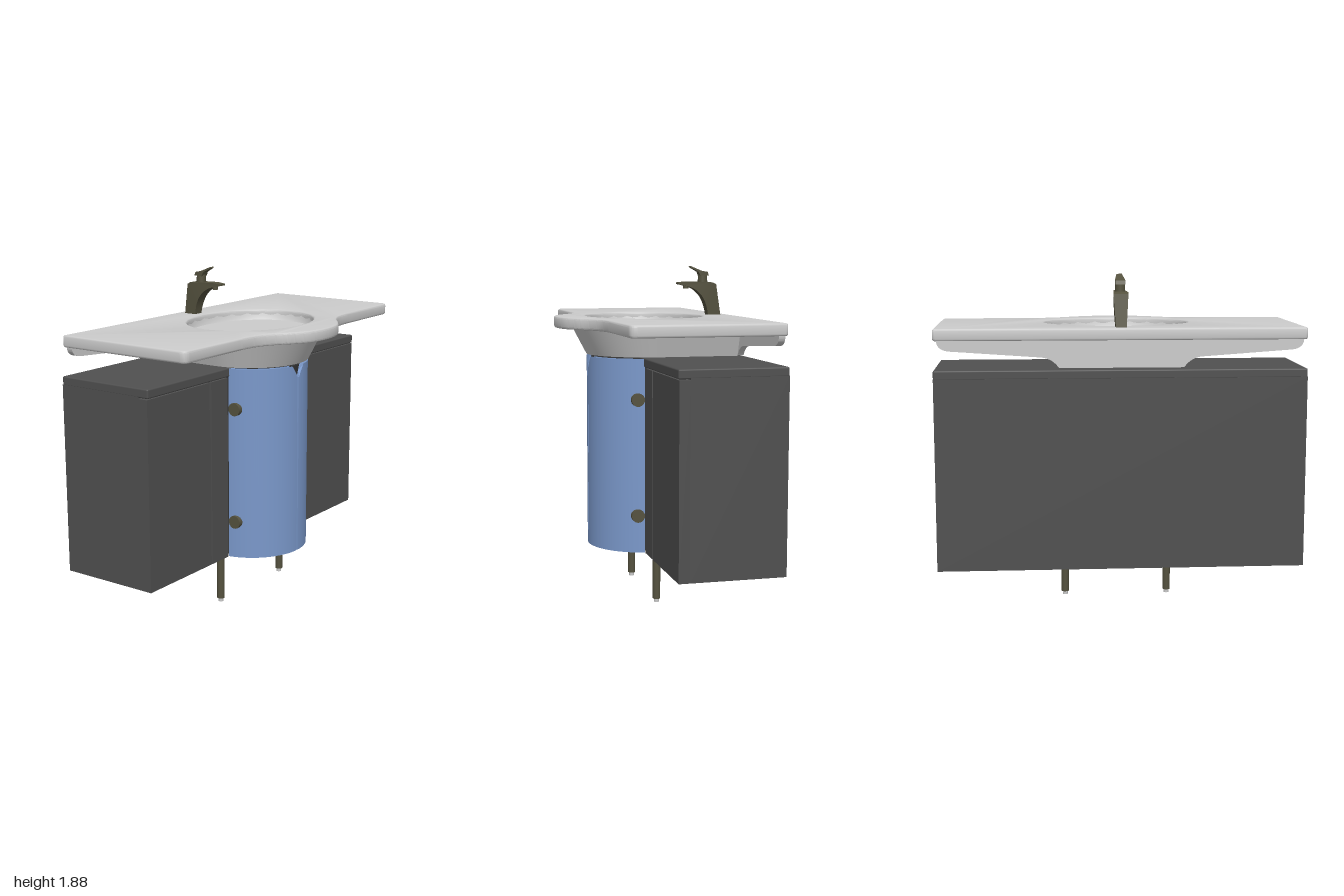
import * as THREE from 'three';
import { toCreasedNormals } from 'three/addons/utils/BufferGeometryUtils.js';
import { RoundedBoxGeometry } from 'three/addons/geometries/RoundedBoxGeometry.js';

const ceramic = new THREE.MeshStandardMaterial({ color: 0xcccccc, side: THREE.DoubleSide });
const dark = new THREE.MeshStandardMaterial({ color: 0x505050 });
const inner = new THREE.MeshStandardMaterial({ color: 0x333333 });
const blue = new THREE.MeshStandardMaterial({ color: 0x7a98ca });
const metal = new THREE.MeshStandardMaterial({ color: 0x55523f });
const black = new THREE.MeshStandardMaterial({ color: 0x222222 });

export function createModel() {
  const group = new THREE.Group();
  const add = (name, geo, mat, x = 0, y = 0, z = 0) => {
    const m = new THREE.Mesh(geo, mat);
    m.name = name;
    m.position.set(x, y, z);
    group.add(m);
    return m;
  };
  // Box given by its limits
  const box = (name, mat, x0, x1, y0, y1, z0, z1) =>
    add(name, new THREE.BoxGeometry(x1 - x0, y1 - y0, z1 - z0), mat, (x0 + x1) / 2, (y0 + y1) / 2, (z0 + z1) / 2);
  const extrude = (shape, depth, opts = {}) =>
    new THREE.ExtrudeGeometry(shape, { depth, bevelEnabled: false, curveSegments: 24, ...opts });
  // Plan outline (x, z) extruded downwards from y = 0
  const plan = (shape, depth, opts) => extrude(shape, depth, opts).rotateX(Math.PI / 2);
  const polygon = (pts) => new THREE.Shape(pts.map((p) => new THREE.Vector2(...p)));
  const moveVertices = (geo, rule) => {
    const p = geo.attributes.position, v = new THREE.Vector3();
    for (let i = 0; i < p.count; i++) {
      v.fromBufferAttribute(p, i);
      rule(v);
      p.setXYZ(i, v.x, v.y, v.z);
    }
    return toCreasedNormals(geo, 0.6);
  };

  // Cabinet carcass and top board
  box('cabinetBody', dark, -1, 1, 0.29, 1.335, -0.51, 0.01);
  add('cabinetTop', new RoundedBoxGeometry(2, 0.05, 0.585, 2, 0.008), dark, 0, 1.355, -0.2175);

  // Curved centre core behind the bowed doors
  const R = 0.316, cz = 0.01;
  const arc = (r, a0, a1, n) => Array.from({ length: n + 1 }, (_, i) => {
    const a = a0 + (a1 - a0) * i / n;
    return [r * Math.cos(a), cz + r * Math.sin(a)];
  });
  add('centreCore', toCreasedNormals(plan(polygon(arc(R - 0.025, 0, Math.PI, 48)), 1.075), 0.6), inner, 0, 1.37, 0);

  for (const s of [1, -1]) {
    // Flat doors; the wide one has a finger slot on its inner edge
    const narrow = [0.318, 0.466].map((x) => x * s).sort((a, b) => a - b);
    box('narrowFrontPanel', dark, narrow[0], narrow[1], 0.29, 1.325, 0.01, 0.07);
    const wide = polygon([[0.474, 0.29], [1, 0.29], [1, 1.325], [0.482, 1.325], [0.482, 1.18], [0.474, 1.18]]
      .map(([x, y]) => [x * s, y]));
    add('wideDoor', extrude(wide, 0.06), dark, 0, 0, 0.01);

    // Bowed door with a shared finger notch at the centre of its top edge
    const a0 = 0.19, a1 = Math.PI / 2 - 0.014;
    const sector = [...arc(R, a0, a1, 40), ...arc(R - 0.025, a1, a0, 40)].map(([x, z]) => [x * s, z]);
    const door = moveVertices(plan(polygon(sector), 1.085), (v) => {
      if (v.y > -0.01) v.y -= 0.068 * THREE.MathUtils.smoothstep(0.058 - Math.abs(v.x), 0, 0.045);
    });
    add('bowedDoor', door, blue, 0, 1.375, 0);

    // Round hinges
    for (const y of [0.5, 1.15])
      add('hinge', new THREE.CylinderGeometry(0.037, 0.037, 0.03, 24).rotateZ(Math.PI / 2), metal, s * 0.299, y, 0.108);

    // Legs with feet
    add('leg', new THREE.CylinderGeometry(0.022, 0.022, 0.27, 12), metal, s * 0.298, 0.155, 0);
    add('foot', new THREE.CylinderGeometry(0.015, 0.015, 0.022, 12), ceramic, s * 0.298, 0.011, 0);
  }

  // Washbasin top: rounded rectangle with a bowed front and an oval opening
  const c = 0.04, b = 0.015;
  const top = new THREE.Shape();
  top.moveTo(-1 + b, -0.5);
  top.lineTo(1 - b, -0.5);
  top.quadraticCurveTo(1, -0.5, 1, -0.5 + b);
  top.lineTo(1, 0.32 - c);
  top.quadraticCurveTo(1, 0.32, 1 - c, 0.32);
  top.lineTo(0.54, 0.32);
  top.splineThru([[0.41, 0.335], [0.31, 0.378], [0.23, 0.437], [0.13, 0.492], [0, 0.51],
    [-0.13, 0.492], [-0.23, 0.437], [-0.31, 0.378], [-0.41, 0.335], [-0.54, 0.32]].map((p) => new THREE.Vector2(...p)));
  top.lineTo(-1 + c, 0.32);
  top.quadraticCurveTo(-1, 0.32, -1, 0.32 - c);
  top.lineTo(-1, -0.5 + b);
  top.quadraticCurveTo(-1, -0.5, -1 + b, -0.5);
  top.holes.push(new THREE.Path().absellipse(0, 0, 0.41, 0.33, 0, Math.PI * 2, true));
  const topGeo = plan(top, 0.041, { bevelEnabled: true, bevelThickness: 0.012, bevelSize: 0.012, bevelOffset: -0.012, bevelSegments: 3, curveSegments: 12 });
  add('basinTop', toCreasedNormals(topGeo, 0.6), ceramic, 0, 1.588, 0);

  // Oval bowl
  const profile = new THREE.SplineCurve([[0.001, 1.4], [0.3, 1.406], [0.6, 1.435], [0.82, 1.48], [0.95, 1.535], [1, 1.58]]
    .map((p) => new THREE.Vector2(...p)));
  add('bowl', new THREE.LatheGeometry(profile.getPoints(24), 64).scale(0.411, 1, 0.331), ceramic);
  add('drain', new THREE.CylinderGeometry(0.04, 0.04, 0.012, 24), metal, 0, 1.405, 0);
  add('drainHole', new THREE.CylinderGeometry(0.025, 0.025, 0.004, 24), black, 0, 1.412, 0);
  add('overflow', new THREE.CylinderGeometry(0.02, 0.02, 0.02, 20).rotateX(Math.PI / 2 - 0.4), metal, 0, 1.5, -0.285);

  // Outer bowl skirt, narrowing downwards
  const skirt = new THREE.Shape();
  skirt.moveTo(-0.385, -0.455);
  skirt.lineTo(0.385, -0.455);
  skirt.lineTo(0.385, 0);
  skirt.absellipse(0, 0, 0.385, 0.41, 0, Math.PI, false);
  skirt.lineTo(-0.385, -0.455);
  add('bowlSkirt', moveVertices(plan(skirt, 0.155), (v) => {
    if (v.y < -0.1) { v.x *= 0.86; if (v.z > 0) v.z *= 0.8; }
  }), ceramic, 0, 1.54, 0);

  // Back apron with tapering wings
  const apron = new THREE.Shape();
  apron.moveTo(-0.98, 1.54);
  apron.quadraticCurveTo(-0.98, 1.485, -0.91, 1.48);
  apron.lineTo(-0.43, 1.446);
  apron.quadraticCurveTo(-0.37, 1.44, -0.335, 1.39);
  apron.lineTo(0.335, 1.39);
  apron.quadraticCurveTo(0.37, 1.44, 0.43, 1.446);
  apron.lineTo(0.91, 1.48);
  apron.quadraticCurveTo(0.98, 1.485, 0.98, 1.54);
  add('backApron', toCreasedNormals(extrude(apron, 0.035), 0.6), ceramic, 0, 0, -0.49);

  // Tap body: side profile (z, y), wider at the shoulder and tapering to the spout
  const tap = new THREE.Shape();
  tap.moveTo(-0.45, 1.6);
  tap.lineTo(-0.42, 1.775);
  tap.lineTo(-0.40, 1.785);
  tap.lineTo(-0.25, 1.79);
  tap.lineTo(-0.2, 1.785);
  tap.lineTo(-0.2, 1.775);
  tap.lineTo(-0.26, 1.762);
  tap.quadraticCurveTo(-0.36, 1.73, -0.375, 1.6);
  const side = (shape, w) => extrude(shape, w, { curveSegments: 10 }).translate(0, 0, -w / 2).rotateY(-Math.PI / 2);
  add('tapBody', moveVertices(side(tap, 0.08), (v) => {
    v.x *= Math.min(0.72 + 0.28 * (v.y - 1.6) / 0.17, 1) * (1 - 0.4 * THREE.MathUtils.clamp((v.z + 0.36) / 0.16, 0, 1));
  }), metal);
  add('aerator', new THREE.CylinderGeometry(0.016, 0.016, 0.025, 16), metal, 0, 1.762, -0.25);

  // Tap lever on its collar
  add('tapCollar', new THREE.CylinderGeometry(0.026, 0.028, 0.05, 20), metal, 0, 1.805, -0.35);
  const lever = polygon([[-0.38, 1.825], [-0.372, 1.845], [-0.34, 1.85], [-0.275, 1.878], [-0.27, 1.872], [-0.32, 1.845], [-0.33, 1.822]]);
  add('tapLever', moveVertices(side(lever, 0.054), (v) => {
    v.x *= 1 - 0.5 * THREE.MathUtils.clamp((v.z + 0.34) / 0.07, 0, 1);
  }), metal);

  return group;
}
